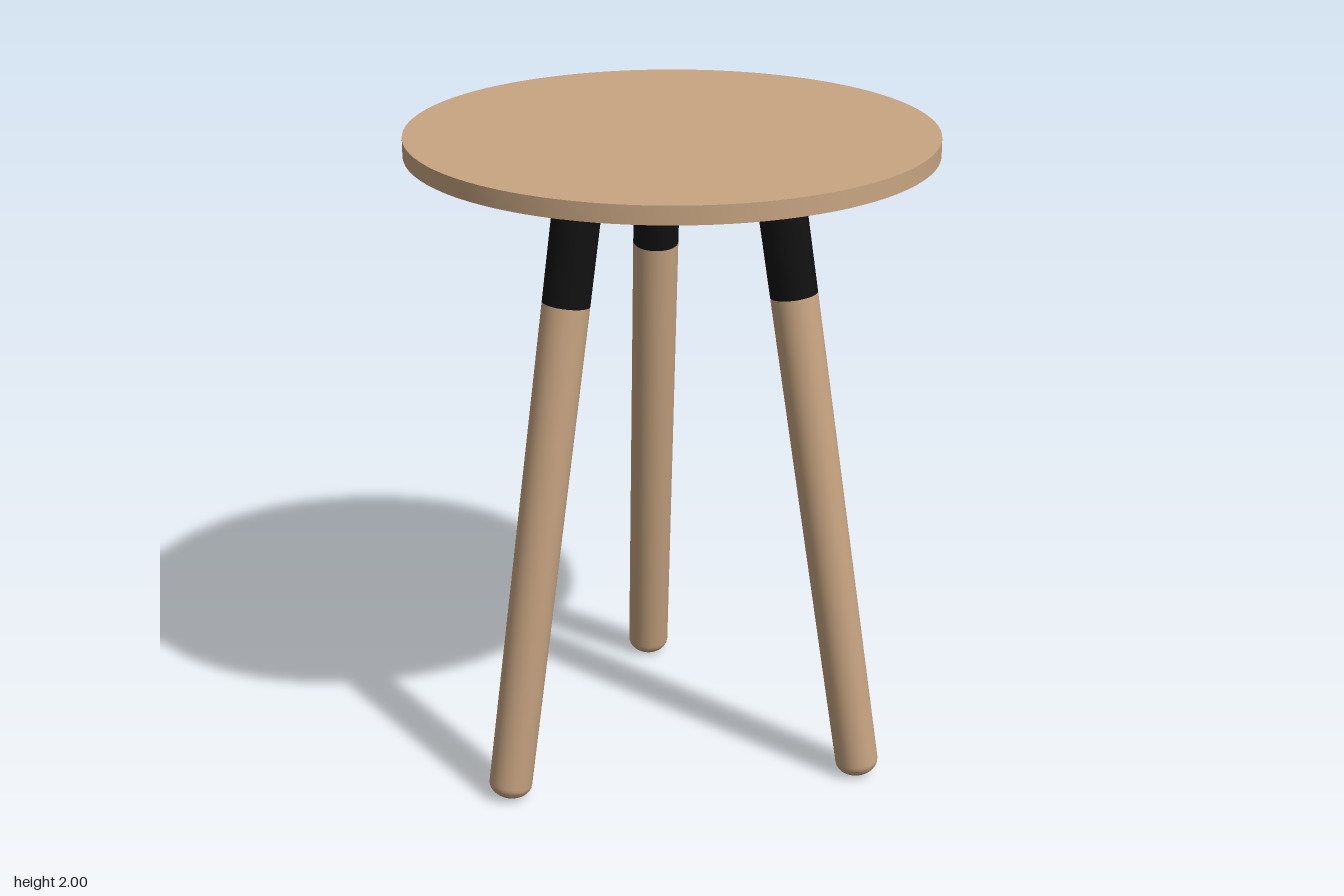
import * as THREE from 'three';
import { toCreasedNormals } from 'three/addons/utils/BufferGeometryUtils.js';

const wood = new THREE.MeshStandardMaterial({ color: 0xc8a582 });
wood.name = 'wood';
const black = new THREE.MeshStandardMaterial({ color: 0x111111 });
black.name = 'black paint';

const TILT = THREE.MathUtils.degToRad(9);
const FOOT_RADIUS = 0.632; // distance of each foot from the centre

// Turned part: smooth around, sharp at profile corners
function turned(name, profile, segments, material, crease) {
  const points = profile.map(([r, y]) => new THREE.Vector2(r, y));
  const geometry = toCreasedNormals(new THREE.LatheGeometry(points, segments), crease);
  const mesh = new THREE.Mesh(geometry, material);
  mesh.name = name;
  return mesh;
}

// Slightly tapered round leg with a domed foot and a painted upper section
function createLeg(angle) {
  const capHeight = 0.048, footR = 0.066, jointR = 0.071, topR = 0.072;
  const joint = 1.564, top = 1.945;

  const shaft = [];
  for (let i = 0; i <= 8; i++) {
    const a = (i / 8) * Math.PI / 2;
    shaft.push([footR * Math.sin(a), capHeight * (1 - Math.cos(a))]);
  }
  shaft.push([jointR, joint]);

  const tilted = new THREE.Group();
  tilted.name = 'tiltedLeg';
  tilted.position.set(FOOT_RADIUS, 0.001, 0);
  tilted.rotation.z = TILT;
  tilted.add(
    turned('legShaft', shaft, 32, wood, 0.6),
    turned('legPaintedTop', [[jointR, joint], [topR, top], [0, top]], 32, black, 0.6)
  );

  const leg = new THREE.Group();
  leg.name = 'leg';
  leg.rotation.y = angle;
  leg.add(tilted);
  return leg;
}

export function createModel() {
  const stool = new THREE.Group();
  stool.name = 'stool';

  // Round seat, bevelled underneath
  stool.add(turned('seat',
    [[0, 1.9], [0.6, 1.9], [0.785, 1.946], [0.785, 2], [0, 2]], 96, wood, 0.2));

  // Three legs, evenly spaced
  for (let i = 0; i < 3; i++) {
    stool.add(createLeg(-Math.PI / 4 + (i * Math.PI * 2) / 3));
  }
  return stool;
}
